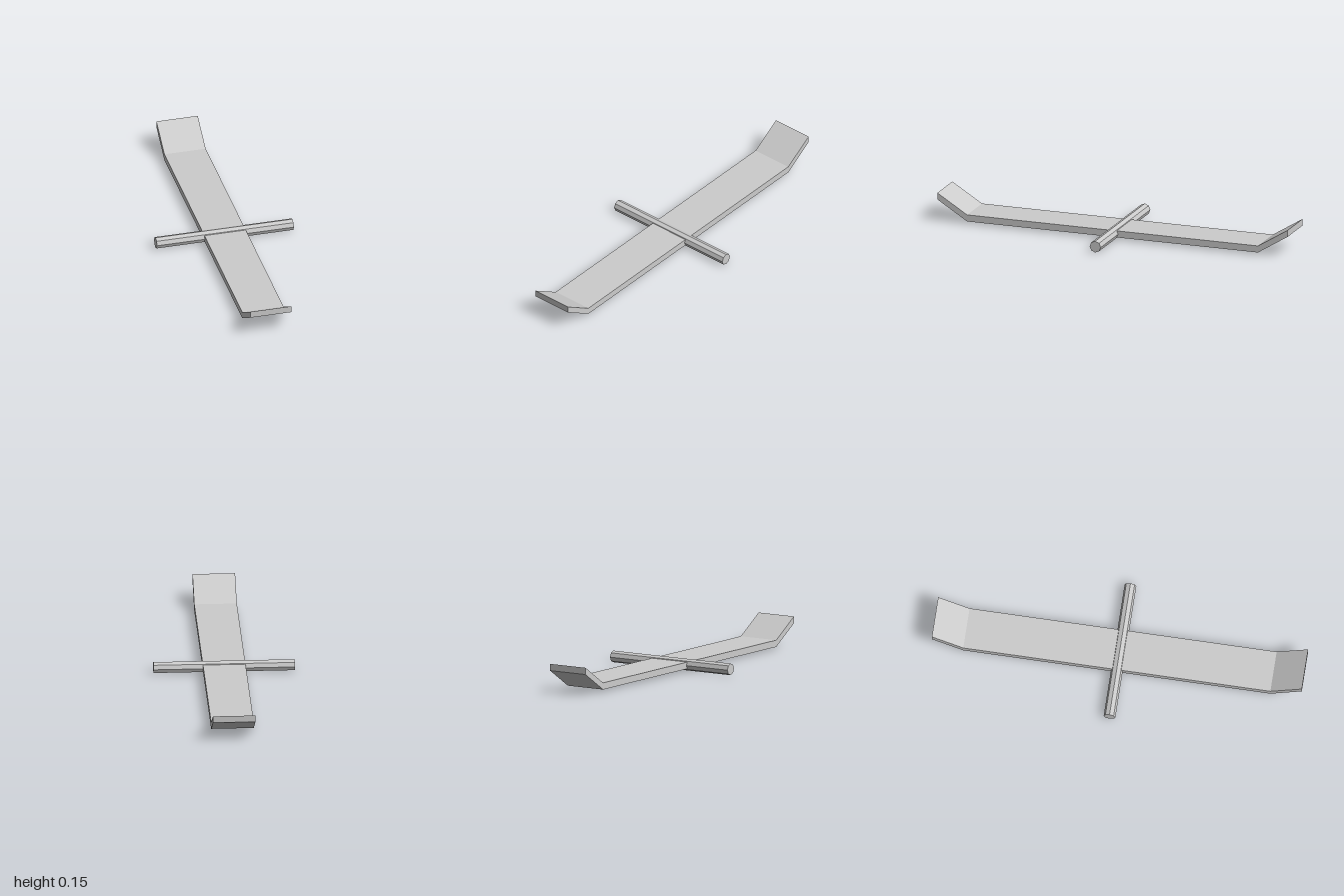
import * as THREE from 'three';

export function createModel() {
  const group = new THREE.Group();
  const material = new THREE.MeshStandardMaterial({ color: 0xcccccc, flatShading: true });

  const axleRadius = 0.0315;
  const axleLength = 0.756;
  const plankWidth = 0.228;
  const thickness = 0.0365;
  const bend = 0.83;   // where the plank turns up
  const rise = 0.105;  // lift of each end

  // Plank: side profile with both ends turned up, extruded across the width
  const bottom = [[-1, rise], [-bend, 0], [bend, 0], [1, rise]];
  const top = bottom.map(([z, y]) => [z, y + thickness]).reverse();
  const profile = new THREE.Shape([...bottom, ...top].map(([z, y]) => new THREE.Vector2(z, y)));
  const plankGeometry = new THREE.ExtrudeGeometry(profile, { depth: plankWidth, bevelEnabled: false });
  plankGeometry.translate(0, axleRadius - thickness / 2, -plankWidth / 2);
  plankGeometry.rotateY(-Math.PI / 2);
  const plank = new THREE.Mesh(plankGeometry, material);
  plank.name = 'plank';
  group.add(plank);

  // Axle: eight-sided rod through the middle of the plank
  const axleGeometry = new THREE.CylinderGeometry(axleRadius, axleRadius, axleLength, 8);
  axleGeometry.rotateZ(Math.PI / 2);
  const axle = new THREE.Mesh(axleGeometry, material);
  axle.name = 'axle';
  axle.position.y = axleRadius;
  group.add(axle);

  return group;
}
